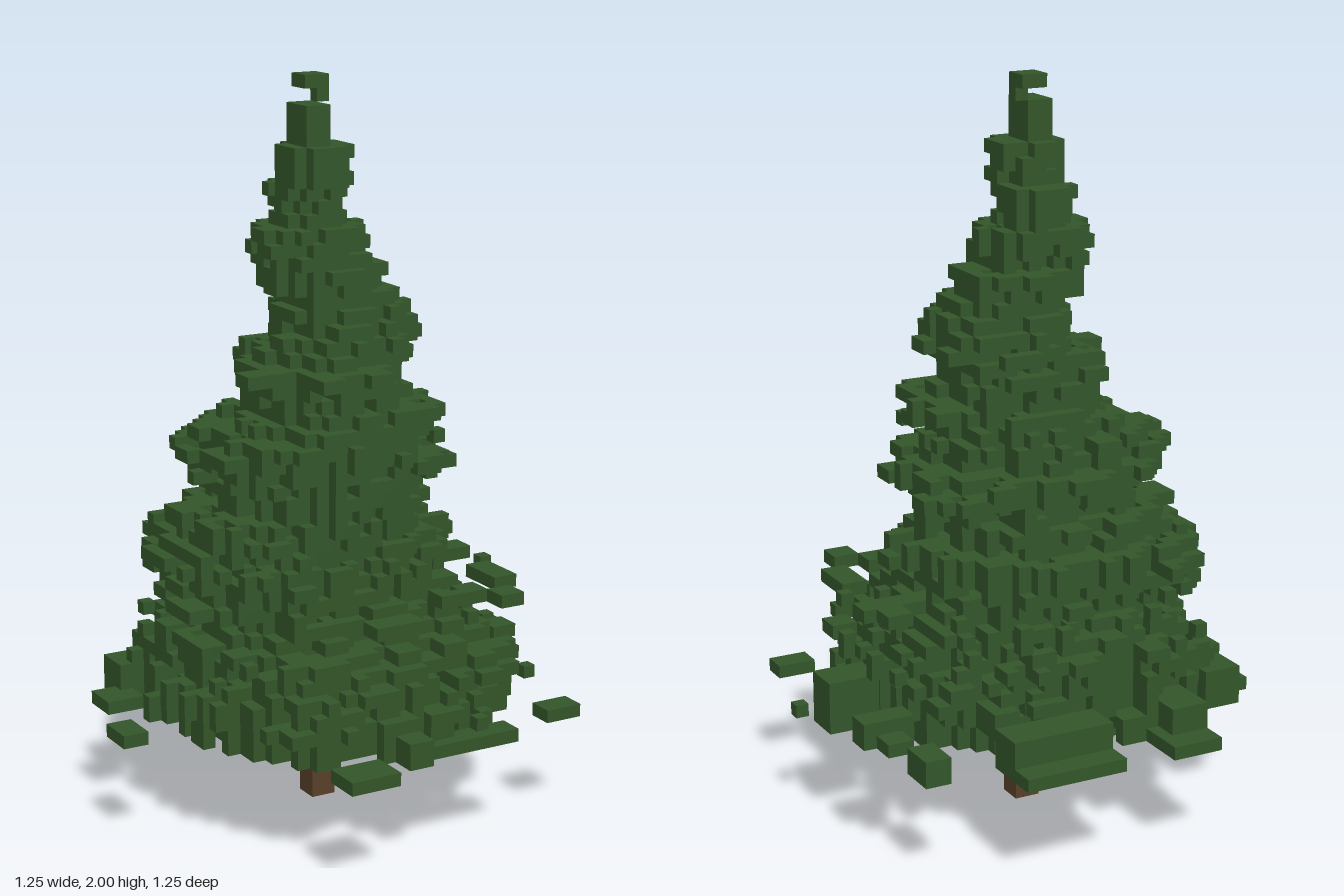
import * as THREE from 'three';

const CELL = 2 / 56;   // voxel size: 35 x 56 x 35 grid
const N = 35, LAYERS = 56, BASE = 8;

// Foliage reach per layer (grid edges), from the lowest boughs to the tip
const LEFT = [0, 1, 3, 4, 6, 6, 6, 8, 8, 5, 6, 6, 5, 6, 7, 7, 10, 10, 8, 9, 7, 9, 11, 13,
  12, 12, 10, 13, 14, 15, 15, 16, 14, 14, 14, 12, 13, 15, 15, 15, 15, 15, 15, 16, 16, 16, 18, 17];
const RIGHT = [35, 34, 34, 34, 31, 31, 30, 29, 28, 32, 27, 27, 29, 28, 26, 26, 26, 26, 29, 28, 26, 26, 26, 26,
  24, 24, 26, 24, 26, 25, 25, 24, 23, 23, 21, 22, 22, 20, 20, 20, 20, 20, 20, 18, 18, 18, 19, 19];
const BACK = [0, 1, 2, 2, 3, 4, 4, 5, 6, 8, 5, 6, 4, 5, 7, 7, 8, 8, 5, 6, 8, 8, 9, 10,
  11, 10, 9, 11, 9, 10, 11, 12, 11, 11, 12, 12, 12, 12, 12, 12, 14, 14, 14, 15, 15, 15, 15, 14];
const FRONT = [35, 33, 31, 30, 30, 29, 28, 26, 25, 30, 25, 25, 25, 24, 24, 24, 24, 24, 24, 24, 25, 25, 24, 25,
  23, 23, 25, 22, 22, 21, 20, 19, 20, 20, 19, 20, 19, 18, 18, 18, 19, 19, 19, 18, 18, 18, 16, 16];

// Stray sprigs: x0, x1, z0, z1, y0, y1
const SPRIGS = [
  [0, 2, 16, 19, 8, 9], [2, 5, 9, 12, 8, 9], [4, 7, 7, 10, 8, 11],
  [30, 34, 16, 19, 8, 12], [34, 35, 20, 21, 8, 9], [30, 34, 10, 12, 9, 11], [30, 32, 4, 7, 8, 10],
  [31, 33, 8, 10, 9, 10], [30, 33, 28, 30, 8, 9],
  [10, 14, 32, 35, 8, 9], [16, 18, 31, 33, 8, 10], [19, 26, 30, 32, 8, 9],
  [10, 14, 0, 5, 8, 9], [10, 13, 2, 6, 9, 11], [18, 23, 0, 2, 8, 9], [18, 26, 2, 5, 8, 11],
  [23, 26, 0, 2, 8, 9], [24, 25, 3, 4, 17, 19],
];

const hash = (x, y, z) => {
  const s = Math.sin(x * 127.1 + y * 311.7 + z * 74.7 + 3.3) * 43758.5453;
  return s - Math.floor(s);
};
const median = (a, i) => {
  const t = [a[Math.max(i - 1, 0)], a[i], a[Math.min(i + 1, a.length - 1)]];
  return t.sort((p, q) => p - q)[1];
};
// Rounded-square radial distance inside the rectangle x0..x1, z0..z1
const reach = (x, z, x0, x1, z0, z1, power) => {
  const u = Math.abs(x + 0.5 - (x0 + x1) / 2) / ((x1 - x0) / 2);
  const v = Math.abs(z + 0.5 - (z0 + z1) / 2) / ((z1 - z0) / 2);
  return Math.pow(u ** power + v ** power, 1 / power);
};

const key = (x, y, z) => (y * N + z) * N + x;

function foliageCells() {
  const cells = new Set();
  for (let y = BASE; y < LAYERS; y++) {
    const i = y - BASE;
    // squarer skirt, round above
    const power = THREE.MathUtils.clamp(3.4 - 0.1 * i, 2.1, 3.2);
    const x0 = Math.max(median(LEFT, i), 5), x1 = Math.min(median(RIGHT, i), 30);
    const z0 = Math.max(median(BACK, i), 4), z1 = Math.min(median(FRONT, i), 31);
    for (let z = BACK[i]; z < FRONT[i]; z++) {
      for (let x = LEFT[i]; x < RIGHT[i]; x++) {
        if (y >= 51) { cells.add(key(x, y, z)); continue; }
        // ragged body
        const d = reach(x, z, x0, x1, z0, z1, power);
        const rough = hash(x, y >> 2, z) * 0.5 + hash(x >> 1, y >> 1, z >> 1) * 0.5;
        const body = d < 0.76 + 0.34 * rough;
        // longer needles in tufts
        const tuft = i > 3 && hash((x + y) >> 1, y, (z + 2 * y) >> 1) > 0.78
          && reach(x, z, LEFT[i], RIGHT[i], BACK[i], FRONT[i], power) < 1.04;
        const pit = (d > 0.55 || y === BASE) && hash(x + 9, y + 5, z + 2) > 0.93;
        if ((body || tuft) && !pit) cells.add(key(x, y, z));
      }
    }
  }
  for (const [x0, x1, z0, z1, y0, y1] of SPRIGS)
    for (let y = y0; y < y1; y++)
      for (let z = z0; z < z1; z++)
        for (let x = x0; x < x1; x++) cells.add(key(x, y, z));
  return cells;
}

function trunkCells() {
  const cells = new Set();
  for (let y = 0; y <= BASE; y++)
    for (let z = 15; z < 17; z++)
      for (let x = 17; x < 19; x++) cells.add(key(x, y, z));
  // chips in the bark
  cells.delete(key(17, 5, 16));
  cells.delete(key(17, 4, 16));
  cells.delete(key(18, 2, 15));
  return cells;
}

// Turns a set of cells into a surface of exposed voxel faces
function voxelGeometry(cells) {
  const pos = [], nor = [], index = [];
  const has = (p) => p.every((c, a) => c >= 0 && c < (a === 1 ? LAYERS : N)) && cells.has(key(...p));
  for (const k of cells) {
    const p = [k % N, Math.floor(k / (N * N)), Math.floor(k / N) % N];
    for (let axis = 0; axis < 3; axis++) {
      for (const side of [-1, 1]) {
        const q = p.slice();
        q[axis] += side;
        if (has(q)) continue;
        const n = [0, 0, 0];
        n[axis] = side;
        const start = pos.length / 3;
        for (const [a, b] of [[0, 0], [1, 0], [1, 1], [0, 1]]) {
          const c = p.slice();
          c[axis] += side > 0 ? 1 : 0;
          c[(axis + 1) % 3] += a;
          c[(axis + 2) % 3] += b;
          pos.push((c[0] - N / 2) * CELL, c[1] * CELL, (c[2] - N / 2) * CELL);
          nor.push(...n);
        }
        const order = side > 0 ? [0, 1, 2, 0, 2, 3] : [0, 2, 1, 0, 3, 2];
        index.push(...order.map((o) => start + o));
      }
    }
  }
  const g = new THREE.BufferGeometry();
  g.setAttribute('position', new THREE.Float32BufferAttribute(pos, 3));
  g.setAttribute('normal', new THREE.Float32BufferAttribute(nor, 3));
  g.setIndex(index);
  return g;
}

export function createModel() {
  const group = new THREE.Group();
  group.name = 'pineTree';
  const green = new THREE.MeshStandardMaterial({ color: 0x33562a });
  green.name = 'needle green';
  const brown = new THREE.MeshStandardMaterial({ color: 0x584028 });
  brown.name = 'bark brown';

  const foliage = new THREE.Mesh(voxelGeometry(foliageCells()), green);
  foliage.name = 'foliage';
  const trunk = new THREE.Mesh(voxelGeometry(trunkCells()), brown);
  trunk.name = 'trunk';
  group.add(foliage, trunk);
  return group;
}
